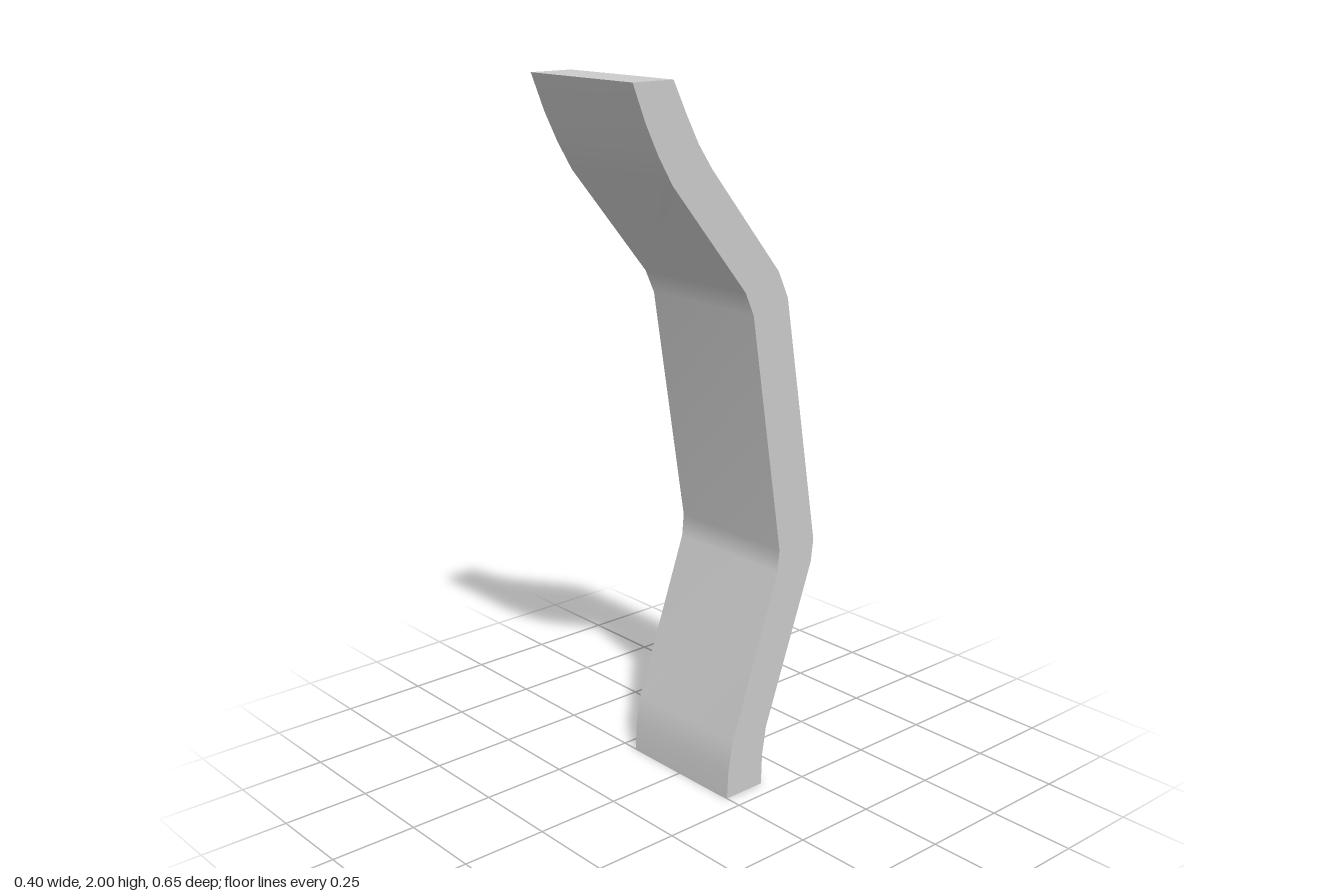
import * as THREE from 'three';
import { mergeGeometries } from 'three/addons/utils/BufferGeometryUtils.js';

const WIDTH = 0.4;

// Side profile as [z, y] pairs, bottom to top
const FRONT = [
  [0, 0], [-0.005, 0.085], [-0.02, 0.17], [-0.185, 0.635], [-0.191, 0.7], [-0.08, 1.38],
  [-0.05, 1.445], [0.2, 1.745], [0.245, 1.82], [0.285, 1.9], [0.325, 2],
];
const BACK = [
  [-0.133, 0], [-0.136, 0.09], [-0.15, 0.175], [-0.317, 0.635], [-0.325, 0.7], [-0.205, 1.41],
  [-0.17, 1.485], [0.07, 1.775], [0.115, 1.84], [0.155, 1.915], [0.197, 2],
];

// Bent sheet across the width, smooth along its length
function sheet(points, facesBack) {
  const geometry = new THREE.PlaneGeometry(WIDTH, 1, 1, points.length - 1);
  if (facesBack) geometry.rotateY(Math.PI);
  const position = geometry.attributes.position;
  for (let i = 0; i < position.count; i++) {
    const [z, y] = points[points.length - 1 - Math.floor(i / 2)];
    position.setY(i, y);
    position.setZ(i, z);
  }
  geometry.computeVertexNormals();
  return geometry;
}

// Flat side wall; sign +1 is the left side, -1 the right
function sideWall(sign) {
  const outline = [...FRONT, ...[...BACK].reverse()];
  const shape = new THREE.Shape(outline.map(([z, y]) => new THREE.Vector2(-sign * z, y)));
  return new THREE.ShapeGeometry(shape)
    .rotateY(sign * Math.PI / 2)
    .translate(sign * WIDTH / 2, 0, 0);
}

// Flat end cap between the two sheets; sign +1 faces up, -1 down
function endCap(index, sign) {
  const [frontZ, y] = FRONT[index];
  const backZ = BACK[index][0];
  return new THREE.PlaneGeometry(WIDTH, frontZ - backZ)
    .rotateX(-sign * Math.PI / 2)
    .translate(0, y, (frontZ + backZ) / 2);
}

export function createModel() {
  const group = new THREE.Group();
  group.name = 'bentBar';

  const geometry = mergeGeometries([
    sheet(FRONT, false),
    sheet(BACK, true),
    sideWall(1),
    sideWall(-1),
    endCap(0, -1),
    endCap(FRONT.length - 1, 1),
  ]);
  const bar = new THREE.Mesh(geometry, new THREE.MeshStandardMaterial({ color: 0xcccccc }));
  bar.name = 'bentStrip';
  group.add(bar);
  return group;
}
